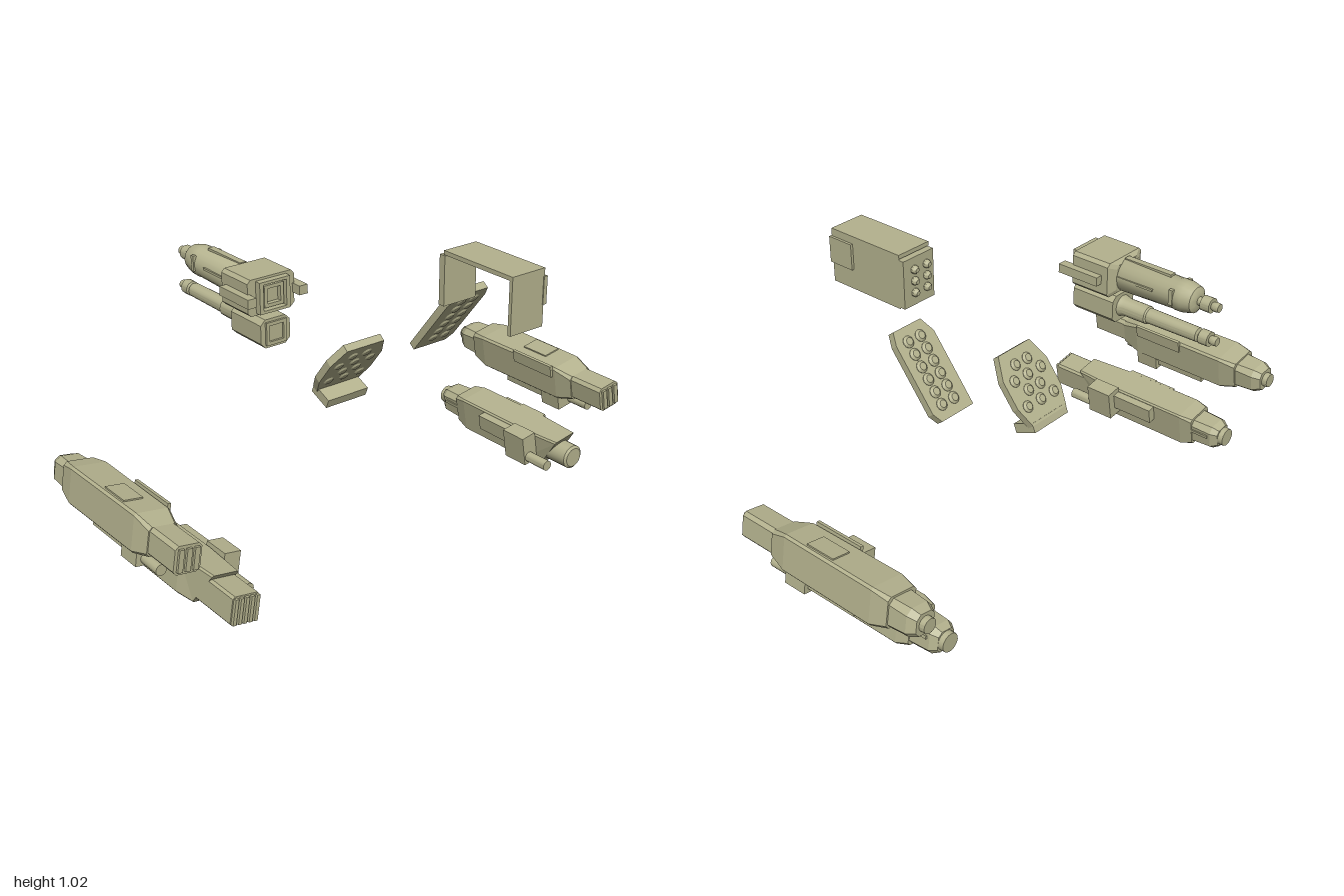
import * as THREE from 'three';
import { toCreasedNormals } from 'three/addons/utils/BufferGeometryUtils.js';

const olive = new THREE.MeshStandardMaterial({ color: 0xb4b28e });
olive.name = 'olive';

function add(parent, name, geometry) {
  const mesh = new THREE.Mesh(geometry, olive);
  mesh.name = name;
  parent.add(mesh);
  return mesh;
}

function group(parent, name, x = 0, y = 0, z = 0) {
  const g = new THREE.Group();
  g.name = name;
  g.position.set(x, y, z);
  parent.add(g);
  return g;
}

// Box given by its limits
function box(parent, name, [x0, x1], [y0, y1], [z0, z1]) {
  const geo = new THREE.BoxGeometry(x1 - x0, y1 - y0, z1 - z0);
  geo.translate((x0 + x1) / 2, (y0 + y1) / 2, (z0 + z1) / 2);
  return add(parent, name, geo);
}

// Turned part along z; profile of [z, radius] from front to back
function turned(parent, name, x, y, profile, sides = 20) {
  const pts = profile.map(([z, r]) => new THREE.Vector2(r, -z));
  const geo = new THREE.LatheGeometry(pts, sides).rotateX(-Math.PI / 2).translate(x, y, 0);
  return add(parent, name, toCreasedNormals(geo, 0.6));
}

// Chamfered hull through sections [z, halfWidth, yLow, yHigh, chamfer, slant], front to back
function hull(parent, name, sections) {
  const rings = sections.map(([z, w, y0, y1, c, slant = 0]) =>
    [[-w + c, y0], [w - c, y0], [w, y0 + c], [w, y1 - c], [w - c, y1], [-w + c, y1], [-w, y1 - c], [-w, y0 + c]]
      .map(([x, y]) => [x, y, z + slant * (y - (y0 + y1) / 2)]));
  const pos = [];
  const tri = (...p) => p.forEach((v) => pos.push(...v));
  for (let i = 0; i < rings.length - 1; i++) {
    for (let k = 0; k < 8; k++) {
      const n = (k + 1) % 8, a = rings[i][k], b = rings[i][n], c = rings[i + 1][n], d = rings[i + 1][k];
      tri(a, d, c);
      tri(a, c, b);
    }
  }
  const first = rings[0], last = rings[rings.length - 1];
  for (let k = 1; k < 7; k++) {
    tri(first[0], first[k], first[k + 1]);
    tri(last[0], last[k + 1], last[k]);
  }
  const geo = new THREE.BufferGeometry();
  geo.setAttribute('position', new THREE.Float32BufferAttribute(pos, 3));
  geo.computeVertexNormals();
  return add(parent, name, geo);
}

// Extruded outline centred in depth, with an optional square hole
function plate(parent, name, outline, depth, hole) {
  const shape = new THREE.Shape(outline.map(([x, y]) => new THREE.Vector2(x, y)));
  if (hole) {
    shape.holes.push(new THREE.Path([[-hole, -hole], [-hole, hole], [hole, hole], [hole, -hole]]
      .map(([x, y]) => new THREE.Vector2(x, y))));
  }
  const geo = new THREE.ExtrudeGeometry(shape, { depth, bevelEnabled: false }).translate(0, 0, -depth / 2);
  return add(parent, name, geo);
}

const square = (w, h) => [[-w, -h], [w, -h], [w, h], [-w, h]];

function twinGuns(root) {
  // Large cannon
  const g = group(root, 'cannon', -0.328, 0.883, 0);
  hull(g, 'receiver', [[-0.052, 0.092, -0.063, 0.063, 0.012], [-0.2, 0.092, -0.063, 0.063, 0.012],
    [-0.215, 0.06, -0.05, 0.05, 0.012]]);
  plate(g, 'receiverFrame', square(0.06, 0.055), 0.025, 0.045).position.z = -0.041;
  plate(g, 'socketRing', square(0.038, 0.038), 0.02, 0.026).position.z = -0.045;
  for (const s of [-1, 1]) {
    const lug = box(g, 'sideLug', [0.085, 0.118], [-0.016, 0.016], [-0.175, -0.012]);
    lug.position.x = s < 0 ? -0.203 : 0;
    box(g, 'barrelStrip', s < 0 ? [-0.061, -0.05] : [0.05, 0.061], [0.005, 0.013], [-0.36, -0.21]);
    box(g, 'sideCatch', s < 0 ? [-0.058, -0.045] : [0.045, 0.058], [-0.02, 0.035], [-0.44, -0.425]);
  }
  box(g, 'topStrip', [-0.012, 0.012], [0.05, 0.062], [-0.4, -0.21]);
  turned(g, 'barrel', 0, 0, [[-0.2, 0], [-0.2, 0.052], [-0.215, 0.06], [-0.43, 0.054], [-0.435, 0.056],
    [-0.465, 0.055], [-0.5, 0.046], [-0.51, 0.03], [-0.51, 0.015], [-0.527, 0.015], [-0.527, 0.026],
    [-0.562, 0.026], [-0.562, 0.013], [-0.575, 0.017], [-0.59, 0.015], [-0.59, 0]]);

  // Small gun below it
  const s = group(root, 'smallGun', -0.33, 0.757, 0);
  hull(s, 'smallReceiver', [[-0.03, 0.058, -0.05, 0.05, 0.018], [-0.2, 0.058, -0.05, 0.05, 0.018]]);
  plate(s, 'smallSocketFrame', square(0.04, 0.04), 0.01, 0.028).position.z = -0.027;
  turned(s, 'smallBarrel', 0, 0, [[-0.2, 0], [-0.2, 0.038], [-0.22, 0.032], [-0.31, 0.032], [-0.315, 0.027],
    [-0.515, 0.025], [-0.52, 0.014], [-0.527, 0.026], [-0.562, 0.026], [-0.562, 0.013], [-0.575, 0.017],
    [-0.59, 0.015], [-0.59, 0]]);
}

function shoulderPod(root) {
  // Cover open to the inner side and below
  const g = group(root, 'shoulderPod');
  box(g, 'frontWall', [0.13, 0.27], [0.82, 1.01], [0.575, 0.588]);
  box(g, 'rearWall', [0.13, 0.27], [0.825, 1.0], [0.25, 0.275]);
  box(g, 'roof', [0.13, 0.27], [1.003, 1.018], [0.27, 0.588]);
  const wall = add(g, 'outerWall', new THREE.PlaneGeometry(0.32, 0.19).rotateY(Math.PI / 2));
  wall.position.set(0.2705, 0.915, 0.428);
  box(g, 'sidePanel', [0.265, 0.28], [0.895, 0.99], [0.487, 0.591]);
  for (const x of [0.165, 0.222]) {
    for (const y of [0.872, 0.915, 0.957]) {
      turned(g, 'rocketTip', x, y, [[0.25, 0.015], [0.24, 0.014], [0.232, 0.008], [0.232, 0]], 10);
    }
  }
}

// Tilted plate with rocket tubes that pass through it
function rocketPlate(root, name, x, y, z, outline, tubes) {
  const g = group(root, name, x, y, z);
  g.rotation.x = 0.67;
  plate(g, 'tubePlate', outline, 0.028);
  for (const [tx, ty] of tubes) {
    turned(g, 'rocketTube', tx, ty, [[0.018, 0], [0.018, 0.015], [0.014, 0.021], [-0.016, 0.021],
      [-0.024, 0.013], [-0.024, 0]], 12);
  }
}

function rocketPlates(root) {
  const sideTubes = [];
  for (let i = 0; i < 6; i++) for (const x of [-0.022, 0.034]) sideTubes.push([x, 0.115 - i * 0.046]);
  rocketPlate(root, 'sideRocketPlate', 0.33, 0.683, 0.085,
    [[-0.083, -0.165], [0.065, -0.165], [0.085, -0.13], [0.085, 0.12], [0.07, 0.165], [-0.055, 0.165], [-0.083, 0.11]],
    sideTubes);

  const midTubes = [];
  [[-0.03, 0.03], [-0.068, 0, 0.068], [-0.03, 0.03], [-0.068, 0, 0.068]]
    .forEach((row, i) => row.forEach((x) => midTubes.push([x, 0.075 - i * 0.048])));
  rocketPlate(root, 'middleRocketPlate', 0, 0.545, -0.06,
    [[-0.088, -0.135], [0.088, -0.135], [0.113, -0.06], [0.113, 0.045], [0.08, 0.128], [-0.08, 0.128],
      [-0.113, 0.045], [-0.113, -0.06]], midTubes);
  const flange = add(root, 'middleFlange', new THREE.BoxGeometry(0.175, 0.035, 0.09));
  flange.position.set(0, 0.422, -0.115);
  flange.rotation.x = 0.4;
}

function armPods(root, side) {
  const arm = group(root, side > 0 ? 'leftArmPods' : 'rightArmPods');
  arm.scale.x = side;

  // Upper outer pod
  const up = group(arm, 'upperPod', 0.92, 0.288, 0);
  up.rotation.z = 0.17;
  hull(up, 'upperBody', [[0.18, 0.052, -0.052, 0.048, 0.012], [0.11, 0.064, -0.066, 0.068, 0.008],
    [-0.28, 0.068, -0.066, 0.068, 0.008], [-0.345, 0.06, -0.05, 0.06, 0.012]]);
  hull(up, 'upperMuzzle', [[0.325, 0.048, -0.048, 0.048, 0.012], [0.1, 0.048, -0.048, 0.048, 0.012]]);
  for (let i = -1; i <= 1; i++) {
    box(up, 'muzzleRib', [i * 0.028 - 0.009, i * 0.028 + 0.009], [-0.038, 0.038], [0.32, 0.334]);
  }
  hull(up, 'upperRearCasing', [[-0.3, 0.056, -0.052, 0.054, 0.016], [-0.415, 0.052, -0.05, 0.05, 0.02],
    [-0.445, 0.038, -0.038, 0.038, 0.016]]);
  turned(up, 'upperNozzle', 0, 0, [[-0.43, 0.028], [-0.465, 0.026], [-0.465, 0]], 16);
  box(up, 'topFin', [-0.074, -0.062], [0.03, 0.076], [-0.1, 0.1]);
  box(up, 'topRail', [-0.02, 0.05], [0.06, 0.073], [-0.095, 0.022]);
  box(up, 'lowerMount', [-0.06, 0.045], [-0.115, -0.06], [0.025, 0.115]);
  box(up, 'lowerRail', [-0.045, 0.03], [-0.1, -0.06], [-0.18, 0.025]);
  turned(up, 'upperSideTube', 0.009, -0.091, [[0.205, 0], [0.205, 0.02], [0.1, 0.02]], 12);

  // Lower inner pod with a raked front
  const low = group(arm, 'lowerPod', 0.765, 0.08, 0);
  low.rotation.z = 0.17;
  hull(low, 'lowerBody', [[0.225, 0.05, -0.069, 0.068, 0.006, 0.7], [0.1, 0.062, -0.069, 0.068, 0.006],
    [-0.22, 0.062, -0.069, 0.068, 0.006], [-0.27, 0.056, -0.054, 0.062, 0.01]]);
  hull(low, 'lowerRearCasing', [[-0.2, 0.054, -0.053, 0.055, 0.016], [-0.35, 0.05, -0.05, 0.05, 0.02],
    [-0.375, 0.035, -0.037, 0.037, 0.014]]);
  turned(low, 'lowerNozzle', 0, 0, [[-0.36, 0.036], [-0.395, 0.034], [-0.395, 0]], 16);
  box(low, 'rearStrip', [-0.056, 0.056], [0.008, 0.02], [-0.34, -0.26]);
  box(low, 'outerPanel', [0.05, 0.07], [0.01, 0.066], [-0.02, 0.1]);
  box(low, 'outerRail', [0.05, 0.068], [0.038, 0.064], [-0.105, -0.02]);
  box(low, 'innerPod', [-0.122, -0.06], [-0.035, 0.08], [0.07, 0.175]);
  box(low, 'innerRail', [-0.092, -0.06], [0.0, 0.06], [-0.1, 0.07]);
  turned(low, 'innerTube', -0.098, -0.008, [[0.27, 0], [0.27, 0.02], [0.16, 0.02]], 12);

  if (side > 0) {
    // Round barrel on the model's left
    turned(low, 'roundBarrel', -0.005, 0, [[0.315, 0], [0.315, 0.036], [0.308, 0.045], [0.12, 0.045]], 24);
  } else {
    // Ribbed square muzzle on the model's right
    hull(low, 'squareMuzzle', [[0.388, 0.05, -0.05, 0.05, 0.008], [0.12, 0.05, -0.05, 0.05, 0.008]]);
    for (let i = -2; i <= 2; i++) {
      box(low, 'muzzleRib', [i * 0.02 - 0.006, i * 0.02 + 0.006], [-0.045, 0.045], [0.38, 0.4]);
    }
  }
}

export function createModel() {
  const root = new THREE.Group();
  root.name = 'weaponParts';
  twinGuns(root);
  shoulderPod(root);
  rocketPlates(root);
  armPods(root, 1);
  armPods(root, -1);
  return root;
}
